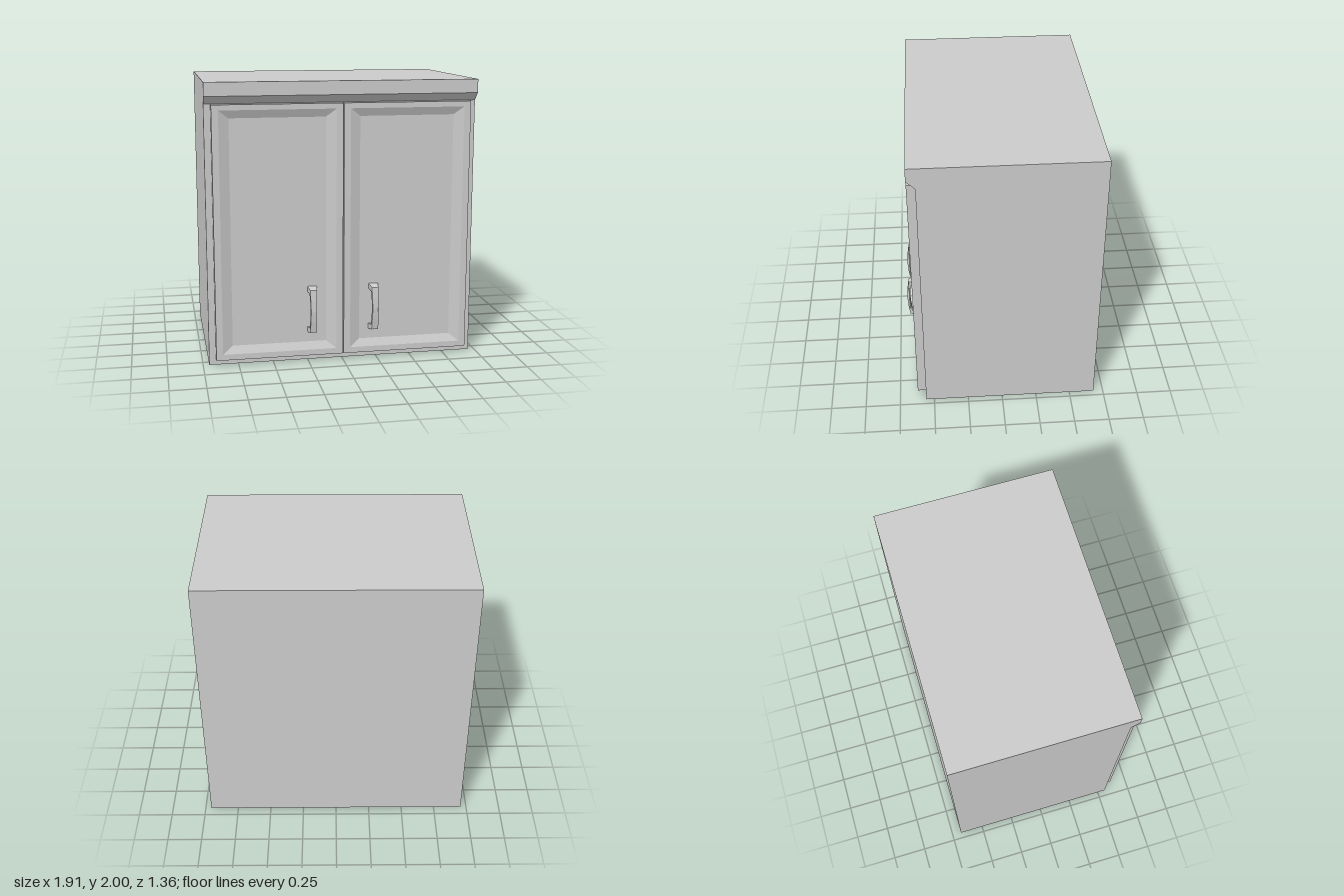
import * as THREE from 'three';

const material = new THREE.MeshStandardMaterial({ color: 0xcccccc, flatShading: true });

function addMesh(parent, name, geometry) {
  const mesh = new THREE.Mesh(geometry, material);
  mesh.name = name;
  parent.add(mesh);
  return mesh;
}

// Extrudes a side profile of [z, y] points across x, centred on x = 0.
function sideExtrude(profile, width) {
  const shape = new THREE.Shape(profile.map(([z, y]) => new THREE.Vector2(z, y)));
  return new THREE.ExtrudeGeometry(shape, { depth: width, bevelEnabled: false })
    .rotateY(-Math.PI / 2)
    .translate(width / 2, 0, 0);
}

// Joins successive rectangles [x0, x1, y0, y1, z] and closes the last one.
function rectangleLoft(rects) {
  const positions = [];
  const loops = rects.map(([x0, x1, y0, y1, z]) => [[x0, y0, z], [x1, y0, z], [x1, y1, z], [x0, y1, z]]);
  const quad = (a, b, c, d) => positions.push(...a, ...b, ...c, ...a, ...c, ...d);
  for (let k = 0; k < loops.length - 1; k++) {
    for (let i = 0; i < 4; i++) {
      const j = (i + 1) % 4;
      quad(loops[k][i], loops[k][j], loops[k + 1][j], loops[k + 1][i]);
    }
  }
  quad(...loops[loops.length - 1]);
  const geometry = new THREE.BufferGeometry();
  geometry.setAttribute('position', new THREE.Float32BufferAttribute(positions, 3));
  geometry.computeVertexNormals();
  return geometry;
}

// Bowed pull: wide at the feet, narrowing outward and towards mid-grip.
function handleGeometry() {
  const midY = 0.385;
  const upper = [[0.59, 0.553], [0.62, 0.55], [0.664, 0.54], [0.675, 0.46], [0.68, midY]];
  const inner = [[0.658, midY], [0.655, 0.45], [0.648, 0.508], [0.62, 0.512], [0.59, 0.515]];
  const flip = ([z, y]) => [z, 2 * midY - y];
  const profile = [
    ...upper, ...upper.slice(0, -1).reverse().map(flip),
    ...inner.slice(1).reverse().map(flip), ...inner,
  ];
  const geometry = sideExtrude(profile, 2);
  const p = geometry.attributes.position;
  for (let i = 0; i < p.count; i++) {
    const out = THREE.MathUtils.clamp((p.getZ(i) - 0.59) / 0.075, 0, 1);
    const waist = 1 - Math.min(Math.abs(p.getY(i) - midY) / 0.12, 1);
    p.setX(i, p.getX(i) * (0.034 - 0.01 * out - 0.005 * waist));
  }
  geometry.computeVertexNormals();
  return geometry;
}

export function createModel() {
  const group = new THREE.Group();
  group.name = 'wallCabinet';

  // Carcass with an overhanging, chamfered top edge
  addMesh(group, 'cabinetBody', sideExtrude([
    [-0.68, 0], [0.56, 0], [0.56, 1.85], [0.62, 1.905], [0.62, 2], [-0.68, 2],
  ], 1.914));

  // Pair of doors with bevelled, sunken panels and pulls
  for (const [side, s] of [['left', 1], ['right', -1]]) {
    const door = new THREE.Group();
    door.name = side + 'Door';
    door.position.x = s * 0.456;
    addMesh(door, side + 'DoorPanel', rectangleLoft([
      [-0.453, 0.453, 0.048, 1.848, 0.56],
      [-0.453, 0.453, 0.048, 1.848, 0.62],
      [-0.406, 0.406, 0.09, 1.81, 0.62],
      [-0.335, 0.335, 0.145, 1.754, 0.594],
    ]));
    addMesh(door, side + 'Handle', handleGeometry()).position.x = s * (0.222 - 0.456);
    group.add(door);
  }
  return group;
}
